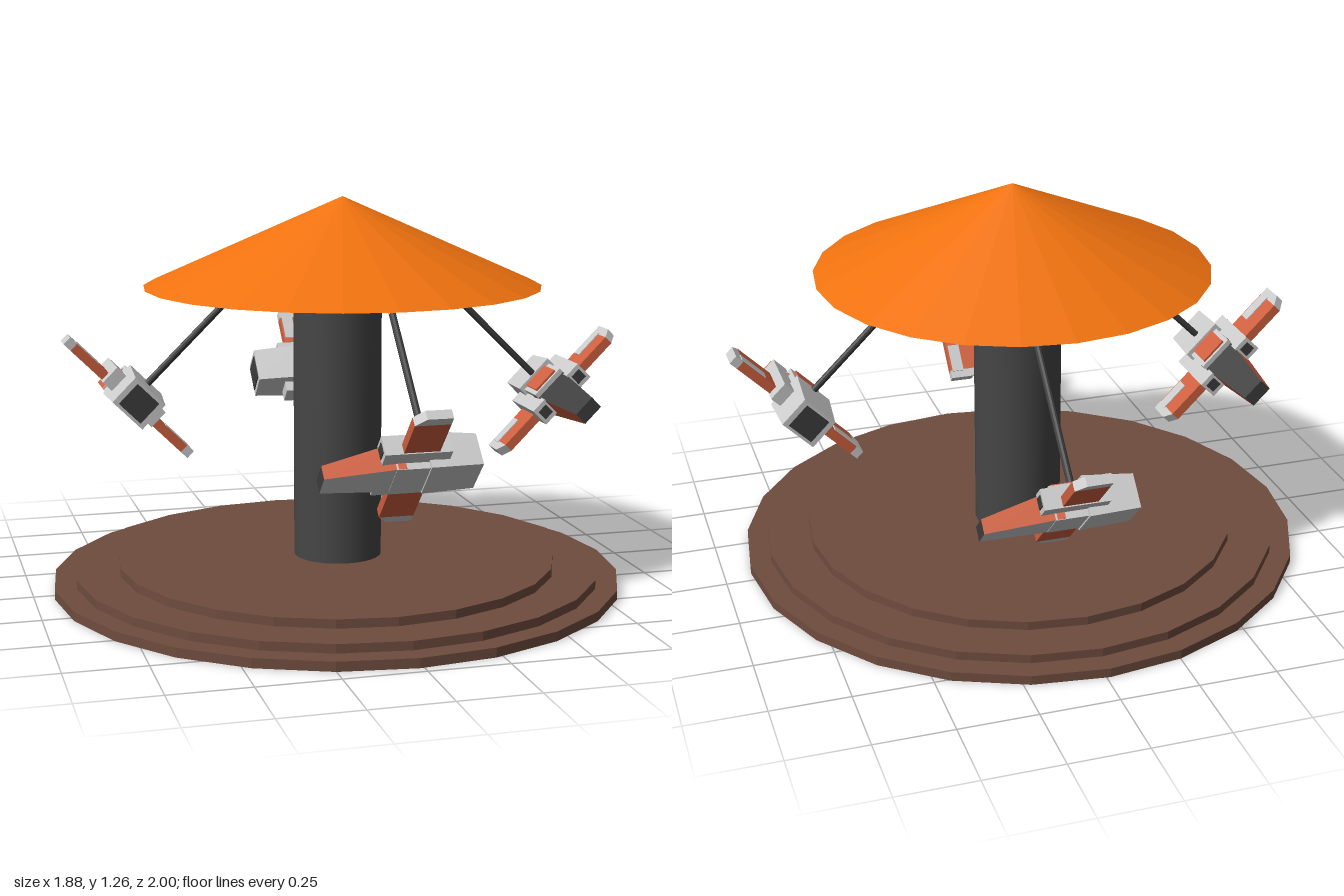
import * as THREE from 'three';

const mat = (color) => new THREE.MeshStandardMaterial({ color, flatShading: true });
const light = mat(0xcccccc);
const dark = mat(0x3c3c3c);
const red = mat(0xd0603f);
const brown = mat(0x6f4c3e);
const orange = mat(0xf0720f);
const poleGrey = new THREE.MeshStandardMaterial({ color: 0x464646 });

function add(parent, name, geometry, material, x = 0, y = 0, z = 0) {
  const mesh = new THREE.Mesh(geometry, material);
  mesh.name = name;
  mesh.position.set(x, y, z);
  parent.add(mesh);
  return mesh;
}

// Box given by its limits along x, y and z
function block(parent, name, [x0, x1], [y0, y1], [z0, z1], material) {
  const g = new THREE.BoxGeometry(x1 - x0, y1 - y0, z1 - z0);
  return add(parent, name, g, material, (x0 + x1) / 2, (y0 + y1) / 2, (z0 + z1) / 2);
}

// Box whose section tapers from one end of x to the other
function taper(parent, name, a, b, material) {
  const g = new THREE.BoxGeometry(1, 1, 1);
  const p = g.attributes.position;
  for (let i = 0; i < p.count; i++) {
    const e = p.getX(i) < 0 ? a : b;
    const y = p.getY(i) < 0 ? e.y[0] : e.y[1];
    p.setXYZ(i, e.x, y, Math.sign(p.getZ(i)) * e.w / 2);
  }
  g.computeVertexNormals();
  return add(parent, name, g, material);
}

// Straight rod between two points
function rod(parent, name, from, to, radius, material) {
  const dir = to.clone().sub(from);
  const mesh = add(parent, name, new THREE.CylinderGeometry(radius, radius, dir.length(), 10), material);
  mesh.position.copy(from).add(to).multiplyScalar(0.5);
  mesh.quaternion.setFromUnitVectors(new THREE.Vector3(0, 1, 0), dir.normalize());
}

// One wing with a clipped trailing tip corner; side is +1 or -1 along z
function wing(parent, side) {
  const slab = (name, points, material) => {
    const pts = points.map(([x, z]) => new THREE.Vector2(x, -z * side));
    const g = new THREE.ExtrudeGeometry(new THREE.Shape(pts), { depth: 0.03, bevelEnabled: false });
    g.rotateX(-Math.PI / 2);
    add(parent, name, g, material, 0, -0.015, 0);
  };
  slab('wing', [[-0.055, 0.04], [0.052, 0.04], [0.052, 0.245], [-0.055, 0.245]], red);
  slab('wingTip', [[-0.055, 0.245], [0.052, 0.245], [0.052, 0.275], [-0.025, 0.275]], light);
  const z = [0.15 * side, 0.25 * side].sort((a, b) => a - b);
  block(parent, 'wingPanel', [0.005, 0.045], [0, 0.018], z, light);
}

// Ride craft: nose towards +x, top towards +y, wings along z
function craft() {
  const g = new THREE.Group();
  g.name = 'rideCraft';
  block(g, 'fuselage', [-0.07, 0.1], [-0.04, 0.065], [-0.06, 0.06], light);
  block(g, 'topDeck', [-0.06, 0.09], [0.05, 0.072], [-0.045, 0.045], red);
  taper(g, 'nose', { x: 0.03, y: [-0.045, 0.08], w: 0.14 }, { x: 0.188, y: [-0.04, 0.065], w: 0.13 }, light);
  block(g, 'noseWindow', [0.15, 0.191], [-0.03, 0.055], [-0.047, 0.047], dark);
  // Tail: red sides, dark top and end, pale underside
  taper(g, 'tail', { x: -0.28, y: [-0.042, 0.003], w: 0.075 }, { x: -0.04, y: [-0.038, 0.055], w: 0.125 },
    [light, dark, dark, light, red, red]);
  for (const s of [-1, 1]) {
    const pod = add(g, 'enginePod', new THREE.BoxGeometry(0.2, 0.065, 0.055), light, -0.01, 0.014, 0.08 * s);
    add(pod, 'exhaust', new THREE.BoxGeometry(0.01, 0.035, 0.035), dark, -0.098, 0, 0);
    wing(g, s);
  }
  return g;
}

export function createModel() {
  const model = new THREE.Group();
  model.name = 'carousel';

  // Stepped base
  [[0.925, 0, 0.03], [0.855, 0.03, 0.058], [0.714, 0.058, 0.086]].forEach(([r, y0, y1]) =>
    add(model, 'baseStep', new THREE.CylinderGeometry(r, r, y1 - y0, 24), brown, -0.012, (y0 + y1) / 2, 0.045));

  // Central pole and roof
  add(model, 'pole', new THREE.CylinderGeometry(0.143, 0.143, 1, 32), poleGrey, -0.003, 0.502, 0.032);
  add(model, 'roof', new THREE.ConeGeometry(0.64, 0.285, 24), orange, 0.01, 1.118, 0.043);

  // Ride craft hung on slanted arms: position, quarter turns, arm end points
  const rides = [
    { at: [0.017, 0.54, 0.795], turn: 0, top: [0.07, 0.99, 0.34], end: [0.07, 0.575, 0.755] },
    { at: [0.735, 0.595, 0.055], turn: 1, top: [0.335, 0.99, 0.01], end: [0.705, 0.625, 0.01] },
    { at: [0.09, 0.54, -0.795], turn: 2, top: [0.07, 0.99, -0.31], end: [0.07, 0.575, -0.74] },
    { at: [-0.675, 0.625, -0.075], turn: 3, top: [-0.305, 0.99, 0.01], end: [-0.645, 0.655, 0.01] },
  ];
  for (const { at, turn, top, end } of rides) {
    const c = craft();
    c.rotation.set(-Math.PI / 4, turn * Math.PI / 2, 0, 'YXZ');
    c.position.set(...at);
    model.add(c);
    const a = new THREE.Vector3(...top);
    const b = new THREE.Vector3(...end);
    const joint = a.clone().lerp(b, 0.15);
    rod(model, 'armSocket', a, joint, 0.012, light);
    rod(model, 'arm', joint, b, 0.011, dark);
  }
  return model;
}
